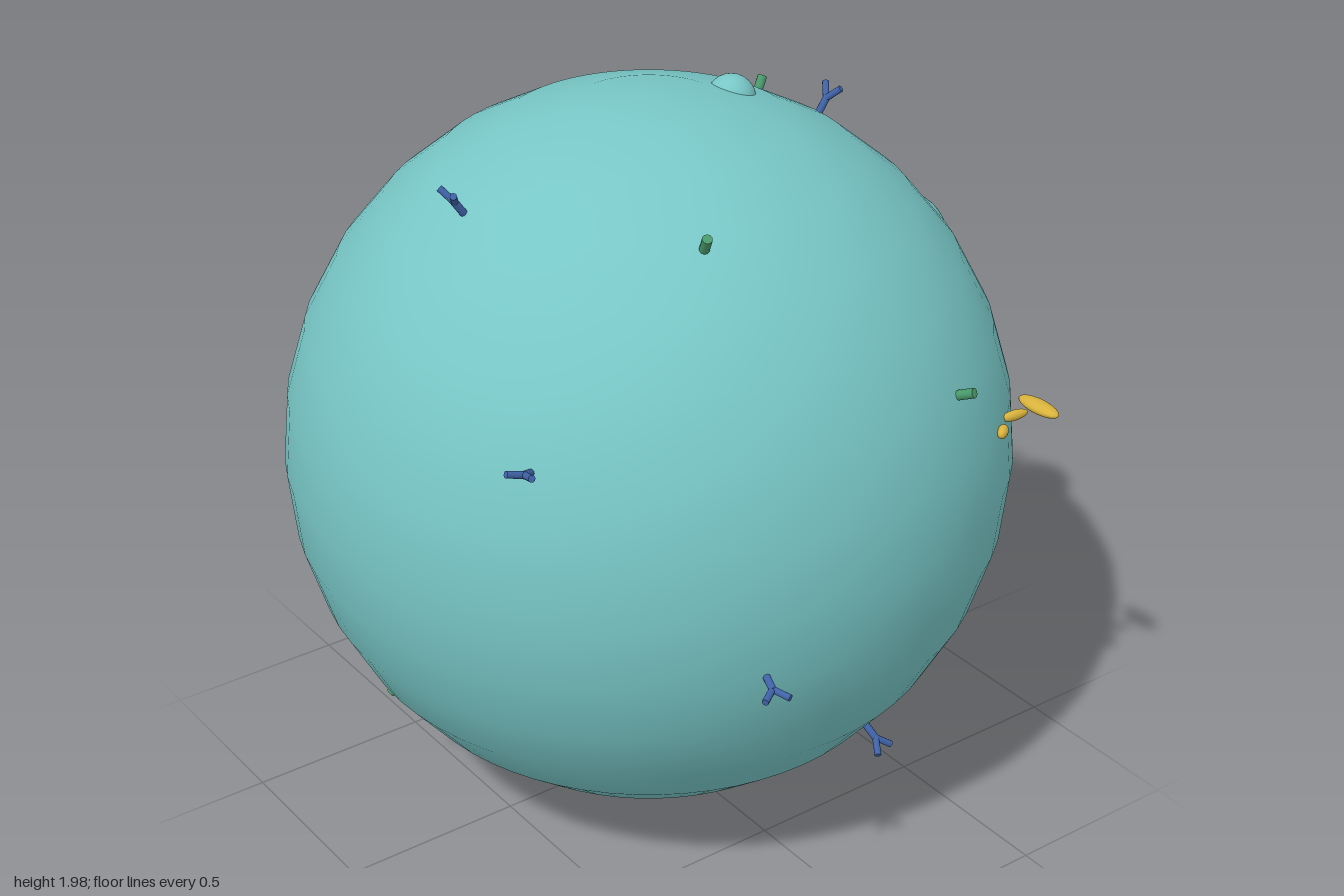
import * as THREE from 'three';

const mat = (name, color) => {
  const m = new THREE.MeshStandardMaterial({ color });
  m.name = name;
  return m;
};

const CENTRE = new THREE.Vector3(-0.025, 1.035, 0);
const UP = new THREE.Vector3(0, 1, 0);

export function createModel() {
  const model = new THREE.Group();
  model.name = 'cell';
  const teal = mat('membraneTeal', 0x78c6c6);
  const blue = mat('receptorBlue', 0x3f63a8);
  const green = mat('channelGreen', 0x4a9a6c);
  const gold = mat('granuleGold', 0xd8b23c);

  const ball = (name, material, pos, scale, parent = model, w = 24, h = 16) => {
    const mesh = new THREE.Mesh(new THREE.SphereGeometry(1, w, h), material);
    mesh.name = name;
    mesh.position.set(...pos);
    mesh.scale.set(...scale);
    parent.add(mesh);
    return mesh;
  };

  // rod between two points
  const rod = (name, material, a, b, r, parent) => {
    const d = b.clone().sub(a);
    const mesh = new THREE.Mesh(new THREE.CylinderGeometry(r, r, d.length(), 10), material);
    mesh.name = name;
    mesh.position.copy(a).add(b).multiplyScalar(0.5);
    mesh.quaternion.setFromUnitVectors(UP, d.normalize());
    parent.add(mesh);
  };

  // main body and the two buds breaking its surface
  ball('cellBody', teal, CENTRE.toArray(), [0.965, 0.965, 0.965], model, 64, 16);
  ball('largeBud', teal, [0.84, 1.38, 0], [0.127, 0.127, 0.127], model, 32, 20);
  ball('smallBud', teal, [0.235, 1.93, 0], [0.065, 0.065, 0.065]);

  // Y-shaped receptors, in pairs turned half way round the upright axis
  const receptors = [
    [0.575, 0.82, 0], [0.755, 0.38, -0.55], [0.32, -0.18, -0.95],
    [0.235, -0.69, 0.71], [0.215, -0.97, 0.155],
  ];
  for (const [x, y, z] of receptors) {
    for (const s of [1, -1]) {
      const dir = new THREE.Vector3(x * s, y, z * s).normalize();
      const side = y < -0.9 ? new THREE.Vector3(1, 0, 0) : new THREE.Vector3().crossVectors(UP, dir);
      side.addScaledVector(dir, -side.dot(dir)).normalize();
      const at = (r, t) => CENTRE.clone().addScaledVector(dir, r).addScaledVector(side, t);
      const g = new THREE.Group();
      g.name = 'receptor';
      rod('receptorStem', blue, at(0.94, 0), at(1.01, 0), 0.01, g);
      for (const t of [-1, 1]) rod('receptorArm', blue, at(1.005, 0), at(1.044, 0.032 * t), 0.009, g);
      model.add(g);
    }
  }

  // short channel rods
  const channels = [
    [-0.215, 0.81, 0.525], [0.53, 0.81, -0.22], [0.345, 0.375, 0.845], [0.35, 0.375, -0.84],
    [0.9, -0.175, 0.37], [-0.375, -0.18, -0.905], [-0.68, -0.685, -0.25], [-0.23, -0.965, 0.1],
  ];
  for (const c of channels) {
    const dir = new THREE.Vector3(...c).normalize();
    const at = (r) => CENTRE.clone().addScaledVector(dir, r);
    rod('channel', green, at(0.94), at(1.01), 0.013, model);
  }

  // granule cluster at the tip of the large bud
  const cluster = new THREE.Group();
  cluster.name = 'granuleCluster';
  cluster.position.set(0.963, 1.37, 0);
  const r = 0.016;
  ball('granule', gold, [0.003, 0, 0], [r, r, r], cluster, 14, 10);
  for (let i = 0; i < 6; i++) {
    const a = (i / 6) * Math.PI * 2 + Math.PI / 6;
    ball('granule', gold, [0, 0.026 * Math.sin(a), 0.026 * Math.cos(a)], [r, r, r], cluster, 14, 10);
  }
  model.add(cluster);

  // row of three flattened bodies on the front
  ball('smallCapsule', gold, [0.502, 1.225, 0.795], [0.027, 0.016, 0.014]).rotation.y = 0.64;
  ball('middleCapsule', gold, [0.585, 1.225, 0.748], [0.042, 0.014, 0.013]).rotation.y = -0.1;
  ball('largeCapsule', gold, [0.668, 1.225, 0.75], [0.027, 0.016, 0.07]);

  return model;
}
